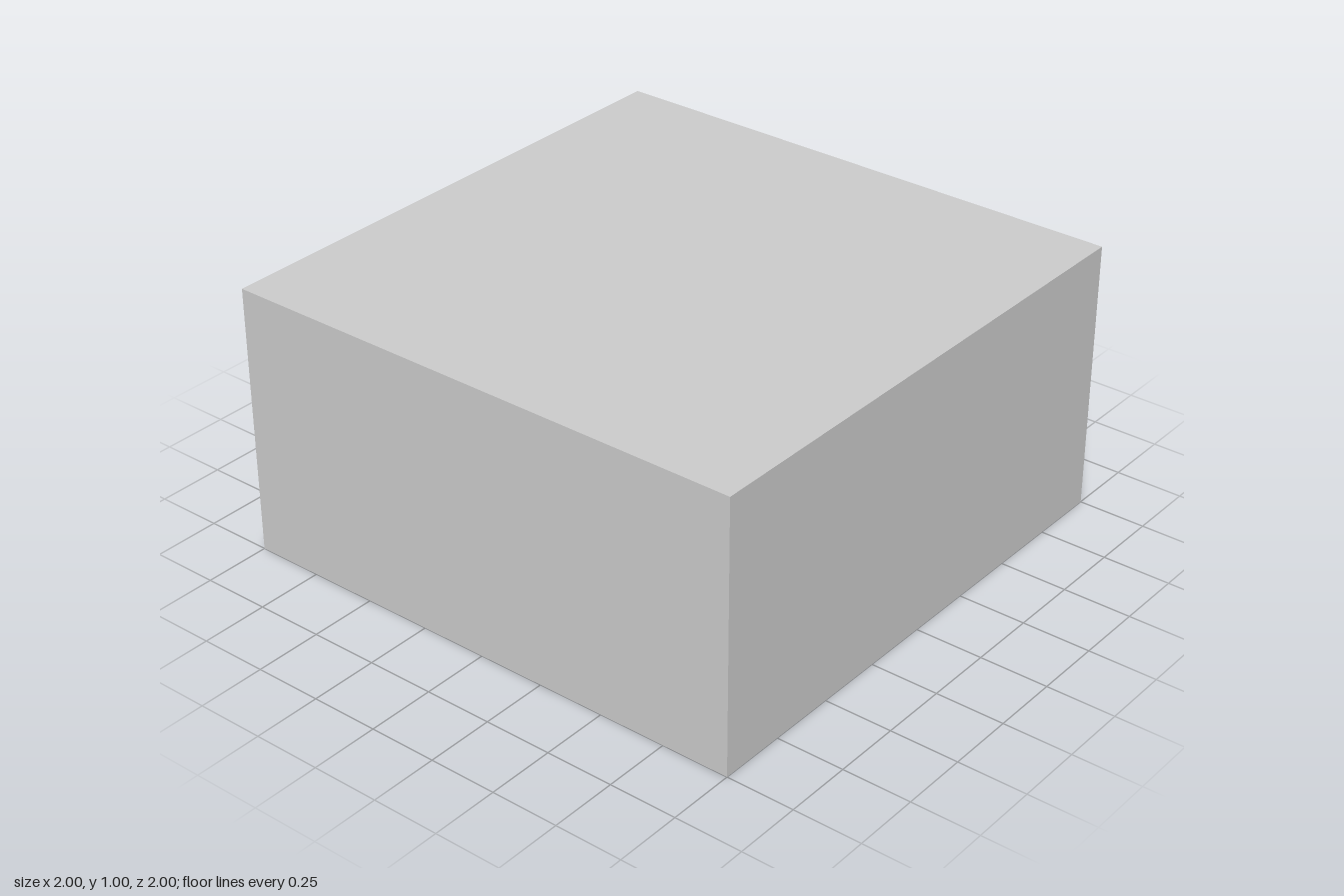
import * as THREE from 'three';

const U = 1 / 9;          // building module
const T = 2 * U;          // wall and roof thickness
const INNER = 1 - T;      // half width of the room, also its height
const DOOR = 2 * U;       // half width of a doorway
const DOOR_H = 5 * U;     // doorway height

const material = new THREE.MeshStandardMaterial({ color: 0xcccccc, flatShading: true });

function add(parent, name, geometry, position, rotation = [0, 0, 0]) {
  const mesh = new THREE.Mesh(geometry, material);
  mesh.name = name;
  mesh.position.set(...position);
  mesh.rotation.set(...rotation);
  parent.add(mesh);
}

const polygon = (points) =>
  new THREE.ShapeGeometry(new THREE.Shape(points.map(([x, y]) => new THREE.Vector2(x, y))));

// Upright wall face standing on the ground, with an optional doorway notch
function wallFace(half, height, door) {
  const notch = door ? [[-DOOR, 0], [-DOOR, DOOR_H], [DOOR, DOOR_H], [DOOR, 0]] : [];
  return polygon([[-half, 0], ...notch, [half, 0], [half, height], [-half, height]]);
}

// One side of the building, built facing +z
function makeWall(name, door) {
  const wall = new THREE.Group();
  wall.name = name;
  const down = [Math.PI / 2, 0, 0];
  add(wall, 'outerFace', wallFace(1, 1, door), [0, 0, 1]);
  add(wall, 'innerFace', wallFace(INNER, INNER, door), [0, 0, INNER], [0, Math.PI, 0]);

  // Mitred underside, split by the doorway
  if (door) {
    for (const s of [-1, 1]) {
      add(wall, 'wallBase', polygon([[s * DOOR, INNER], [s * INNER, INNER], [s, 1], [s * DOOR, 1]]), [0, 0, 0], down);
      add(wall, 'doorJamb', new THREE.PlaneGeometry(T, DOOR_H),
        [s * DOOR, DOOR_H / 2, 1 - T / 2], [0, -s * Math.PI / 2, 0]);
    }
    add(wall, 'doorLintel', new THREE.PlaneGeometry(2 * DOOR, T), [0, DOOR_H, 1 - T / 2], down);
  } else {
    add(wall, 'wallBase', polygon([[-INNER, INNER], [INNER, INNER], [1, 1], [-1, 1]]), [0, 0, 0], down);
  }
  return wall;
}

export function createModel() {
  const model = new THREE.Group();
  model.name = 'hollowBlock';

  // Four walls; the left and back ones have doorways
  const walls = [['frontWall', false], ['leftWall', true], ['backWall', true], ['rightWall', false]];
  walls.forEach(([name, door], i) => {
    const wall = makeWall(name, door);
    wall.rotation.y = i * Math.PI / 2;
    model.add(wall);
  });

  // Roof and ceiling
  add(model, 'roof', new THREE.PlaneGeometry(2, 2), [0, 1, 0], [-Math.PI / 2, 0, 0]);
  add(model, 'ceiling', new THREE.PlaneGeometry(2 * INNER, 2 * INNER), [0, INNER, 0], [Math.PI / 2, 0, 0]);
  return model;
}
